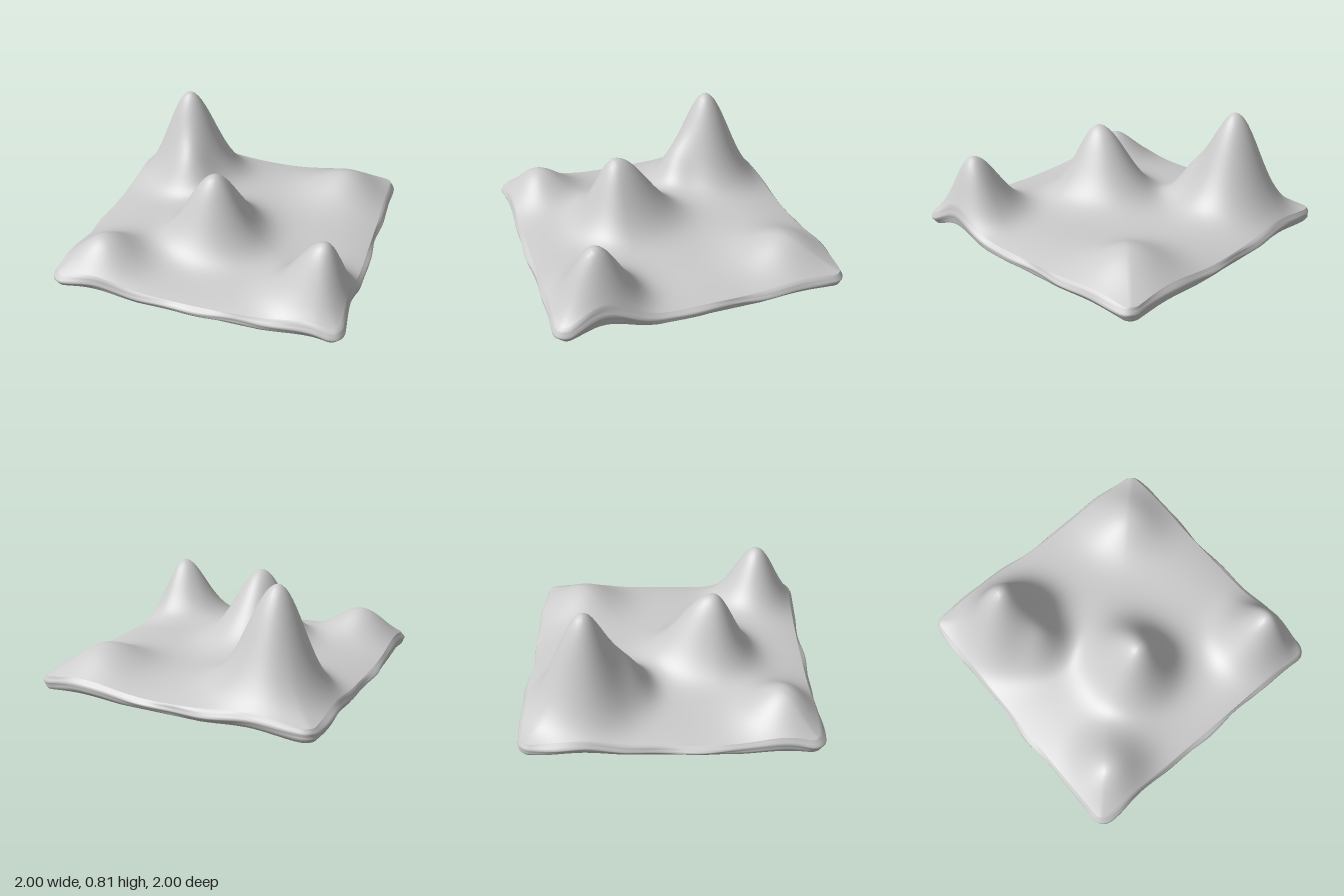
import * as THREE from 'three';

const N = 90;         // grid cells per side
const HALF = 0.96;    // half width of the sheet before the edge bulge
const CORNER = 0.07;  // corner rounding, as a share of the half width

// Hills: centre x, z, height, then spread to -x, +x, -z, +z
const HILLS = [
  [-0.56, -0.55, 0.68, 0.057, 0.072, 0.066, 0.048], // tall peak
  [-0.47, -0.26, 0.16, 0.030, 0.030, 0.020, 0.018], // shoulder of the tall peak
  [-0.07, 0.30, 0.51, 0.060, 0.060, 0.105, 0.046],  // middle peak
  [0.79, 0.68, 0.435, 0.064, 0.028, 0.050, 0.042],  // corner peak
  [-0.69, 0.75, 0.20, 0.055, 0.060, 0.060, 0.045],  // low front hill
  [0.66, -0.65, 0.145, 0.080, 0.070, 0.080, 0.070], // low back hill
];

function hills(x, z) {
  let y = 0;
  for (const [cx, cz, h, xn, xp, zn, zp] of HILLS) {
    const dx = x - cx, dz = z - cz;
    y += h * Math.exp(-dx * dx / (dx < 0 ? xn : xp) - dz * dz / (dz < 0 ? zn : zp));
  }
  return y;
}

// Upper side: ground that sinks gently to the rim, plus the hills
function topY(x, z) {
  const rim = Math.min(1, Math.max(Math.abs(x), Math.abs(z)) / HALF);
  const ripple = 0.006 * Math.sin(6 * x + 2 * z) * Math.sin(5 * z - 3 * x + 1);
  return 0.075 + 0.06 * (1 - rim ** 4) + ripple + hills(x, z);
}

// Underside: flat, with hollows below the hills
const bottomY = (x, z) => 0.6 * Math.max(0, hills(x, z) - 0.012);

// Rounds the corners of the unit square; returns position and outward direction
function rounded(u, v) {
  const c = 1 - CORNER;
  const du = u - THREE.MathUtils.clamp(u, -c, c);
  const dv = v - THREE.MathUtils.clamp(v, -c, c);
  const len = Math.hypot(du, dv) || 1;
  const k = Math.max(Math.abs(du), Math.abs(dv)) / len;
  return {
    x: (u - du + du * k) * HALF, z: (v - dv + dv * k) * HALF,
    nx: du / len, nz: dv / len,
  };
}

function sheet(height, turn) {
  const geo = new THREE.PlaneGeometry(2, 2, N, N).rotateX(turn);
  const pos = geo.attributes.position;
  for (let i = 0; i < pos.count; i++) {
    const { x, z } = rounded(pos.getX(i), pos.getZ(i));
    pos.setXYZ(i, x, height(x, z), z);
  }
  geo.computeVertexNormals();
  return geo;
}

// Bulging, layered band that joins the two sheets around the outline
function rimBand() {
  const LEVELS = 8, count = 4 * N, pos = [], index = [];
  for (let i = 0; i < count; i++) {
    const s = -1 + 2 * (i % N) / N;
    const [u, v] = [[s, 1], [1, -s], [-s, -1], [-1, s]][Math.floor(i / N)];
    const p = rounded(u, v);
    const a = i / count * Math.PI * 2;
    const bulge = 0.026 + 0.008 * Math.sin(9 * a + 1) + 0.005 * Math.sin(17 * a);
    const lo = bottomY(p.x, p.z), hi = topY(p.x, p.z);
    for (let j = 0; j <= LEVELS; j++) {
      const t = j / LEVELS;
      const layer = 0.005 * Math.sin(14 * t + 2 * Math.sin(5 * a));
      const out = Math.sin(Math.PI * t) * (bulge + layer);
      pos.push(p.x + p.nx * out, lo + (hi - lo) * t, p.z + p.nz * out);
      if (j === LEVELS) continue;
      const b = i * (LEVELS + 1) + j, n = ((i + 1) % count) * (LEVELS + 1) + j;
      index.push(b, n, b + 1, n, n + 1, b + 1);
    }
  }
  const geo = new THREE.BufferGeometry();
  geo.setAttribute('position', new THREE.Float32BufferAttribute(pos, 3));
  geo.setIndex(index);
  geo.computeVertexNormals();
  return geo;
}

export function createModel() {
  const group = new THREE.Group();
  group.name = 'terrain';
  const material = new THREE.MeshStandardMaterial({ color: 0xcccccc });
  const add = (name, geo) => {
    const mesh = new THREE.Mesh(geo, material);
    mesh.name = name;
    group.add(mesh);
  };
  add('groundSurface', sheet(topY, -Math.PI / 2));
  add('underside', sheet(bottomY, Math.PI / 2));
  add('rim', rimBand());
  return group;
}
